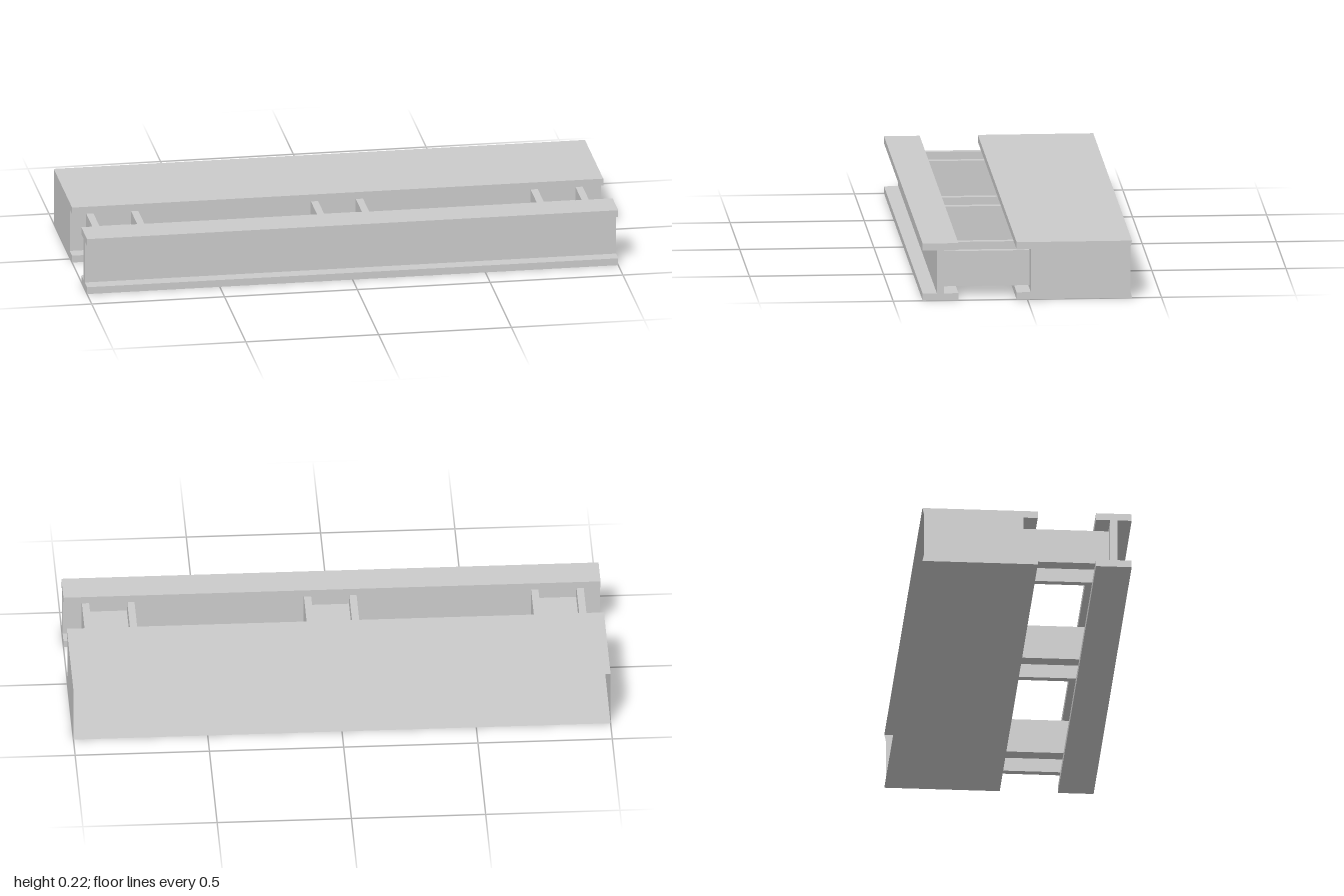
import * as THREE from 'three';

const H = 0.217, T = 0.027;      // beam height, flange thickness
const L = 2;                     // beam length
const solid = new THREE.MeshStandardMaterial({ color: 0xcccccc, flatShading: true });
const sheet = new THREE.MeshStandardMaterial({ color: 0xcccccc, flatShading: true, side: THREE.DoubleSide });

function add(parent, name, geometry, material = solid) {
  const mesh = new THREE.Mesh(geometry, material);
  mesh.name = name;
  parent.add(mesh);
  return mesh;
}

// I-section centred on the origin: flanges w wide, web t thick, height h
function iShape(w, h, web, flange) {
  const a = w / 2, b = web / 2, c = h / 2, d = c - flange;
  return new THREE.Shape([
    [-a, -c], [a, -c], [a, -d], [b, -d], [b, d], [a, d],
    [a, c], [-a, c], [-a, d], [-b, d], [-b, -d], [-a, -d],
  ].map(([x, y]) => new THREE.Vector2(x, y)));
}

const extrude = (shape, depth) =>
  new THREE.ExtrudeGeometry(shape, { depth, bevelEnabled: false }).translate(0, 0, -depth / 2);

// Sheet swept along x through an open [z, y] profile
function ribbon(profile, length) {
  const pos = [], index = [];
  profile.forEach(([z, y], i) => {
    pos.push(-length / 2, y, z, length / 2, y, z);
    if (i) {
      const k = 2 * i;
      index.push(k - 2, k - 1, k, k - 1, k + 1, k);
    }
  });
  const g = new THREE.BufferGeometry();
  g.setAttribute('position', new THREE.Float32BufferAttribute(pos, 3));
  g.setIndex(index);
  const flat = g.toNonIndexed();
  flat.computeVertexNormals();
  return flat;
}

export function createModel() {
  const group = new THREE.Group();
  group.name = 'beamFrame';

  // Front I-beam, running along x
  const front = add(group, 'frontBeam', extrude(iShape(0.133, H, T, T), L).rotateY(Math.PI / 2));
  front.position.set(0, H / 2, 0.3235);

  // Rear beam: hollow sheet shell, flanged at the front and open at the back
  const rear = new THREE.Group();
  rear.name = 'rearBeam';
  group.add(rear);
  const tip = 0.04, web = -0.013, back = -0.39, inset = -0.384;
  const profile = [
    [back, 0], [tip, 0], [tip, T], [web, T],
    [web, H - T], [tip, H - T], [tip, H], [back, H],
  ];
  add(rear, 'rearShell', ribbon(profile, L), sheet);

  // End plates, their rear edge slightly notched
  const outline = [...profile, [inset, H - T], [inset, T]]
    .map(([z, y]) => new THREE.Vector2(-z, y));
  for (const side of [-1, 1]) {
    const plate = add(rear, side > 0 ? 'leftEndPlate' : 'rightEndPlate',
      new THREE.ShapeGeometry(new THREE.Shape(outline)).rotateY(Math.PI / 2), sheet);
    plate.position.x = side * L / 2;
  }

  // H-section cross members joining the two webs
  const zFront = 0.31, span = zFront - web;
  for (const x of [-0.841, 0.005, 0.832]) {
    const section = extrude(iShape(0.133, 0.196, T, T), span).rotateZ(Math.PI / 2);
    add(group, 'crossMember', section).position.set(x, 0.106, (zFront + web) / 2);
  }

  return group;
}
